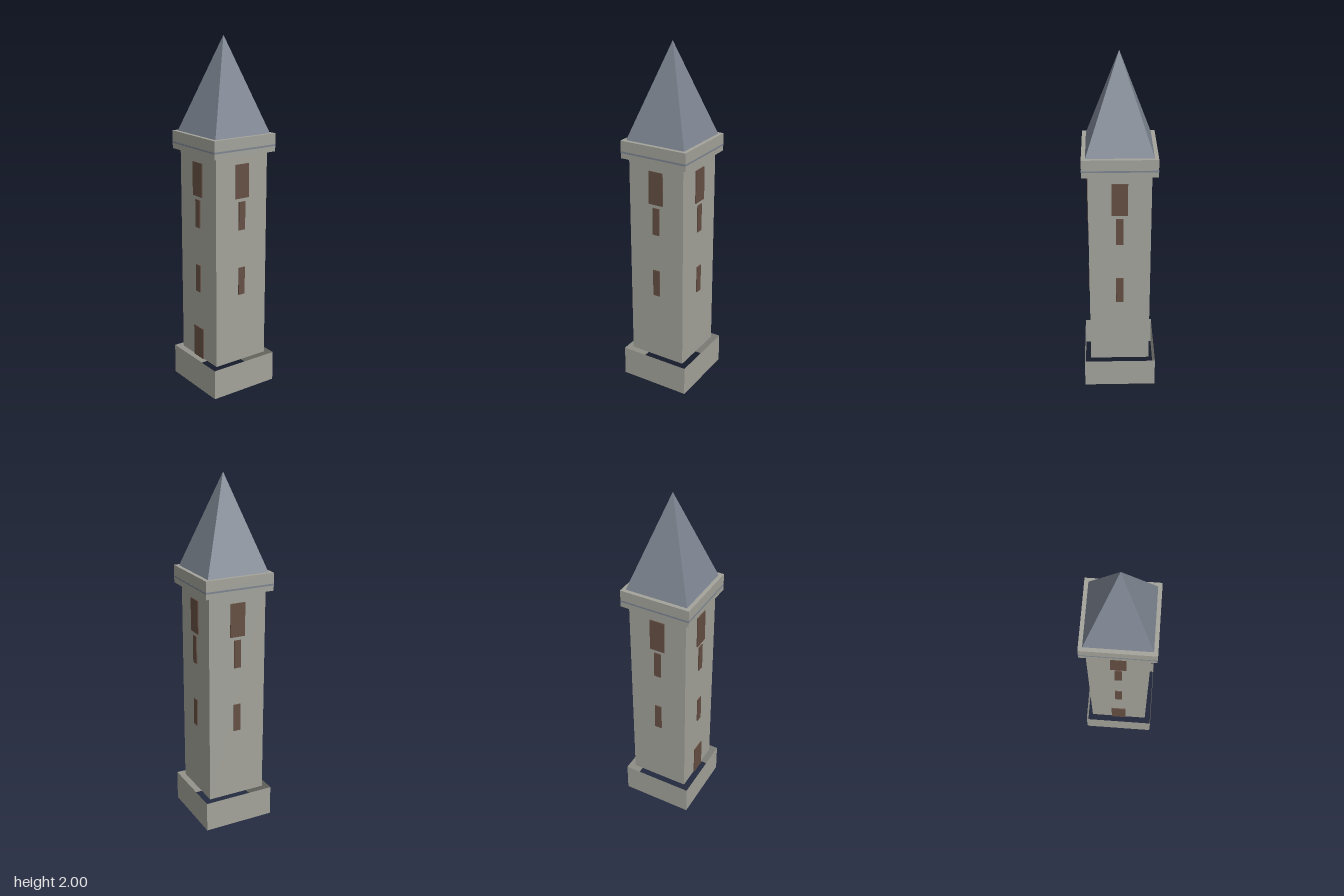
import * as THREE from 'three';

export function createModel() {
  const mat = (name, color) => {
    const m = new THREE.MeshStandardMaterial({ color, flatShading: true, side: THREE.DoubleSide });
    m.name = name;
    return m;
  };
  const stone = mat('stone', 0xa3a39b);
  const slate = mat('slate', 0x7d8591);
  const wood = mat('wood', 0x654f43);

  const tower = new THREE.Group();
  tower.name = 'tower';
  tower.rotation.y = THREE.MathUtils.degToRad(4.5);

  // Four-sided section between two heights; corners lie on the axes
  const section = (name, rTop, rBottom, y0, y1, material, open) => {
    const geo = new THREE.CylinderGeometry(rTop, rBottom, y1 - y0, 4, 1, open);
    const mesh = new THREE.Mesh(geo, material);
    mesh.name = name;
    mesh.position.y = (y0 + y1) / 2;
    tower.add(mesh);
  };

  // Hollow plinth and walls
  section('plinth', 0.295, 0.295, 0, 0.175, stone, true);
  section('walls', 0.242, 0.242, 0.175, 1.41, stone, true);

  // Cornice: open skirt, thin slate course, capped block
  section('corniceSkirt', 0.287, 0.287, 1.38, 1.41, stone, true);
  section('slateCourse', 0.288, 0.288, 1.41, 1.42, slate, false);
  section('corniceBlock', 0.287, 0.287, 1.42, 1.48, stone, false);

  // Pyramid roof
  const roof = new THREE.Mesh(new THREE.ConeGeometry(0.256, 0.52, 4, 1, true), slate);
  roof.name = 'roof';
  roof.position.y = 1.74;
  tower.add(roof);

  // Openings on each wall: name, width, bottom, top
  const openings = [
    ['belfryWindow', 0.088, 1.14, 1.33],
    ['upperSlit', 0.041, 0.96, 1.12],
    ['lowerSlit', 0.041, 0.58, 0.74],
  ];
  const door = ['door', 0.09, 0.175, 0.36];
  for (let i = 0; i < 4; i++) {
    const wall = new THREE.Group();
    wall.name = 'wallOpenings';
    wall.rotation.y = -Math.PI / 4 + (i * Math.PI) / 2;
    for (const [name, w, y0, y1] of i === 0 ? [...openings, door] : openings) {
      const plate = new THREE.Mesh(new THREE.BoxGeometry(w, y1 - y0, 0.008), wood);
      plate.name = name;
      plate.position.set(0, (y0 + y1) / 2, 0.173);
      wall.add(plate);
    }
    tower.add(wall);
  }

  const model = new THREE.Group();
  model.name = 'watchtower';
  model.add(tower);
  return model;
}
